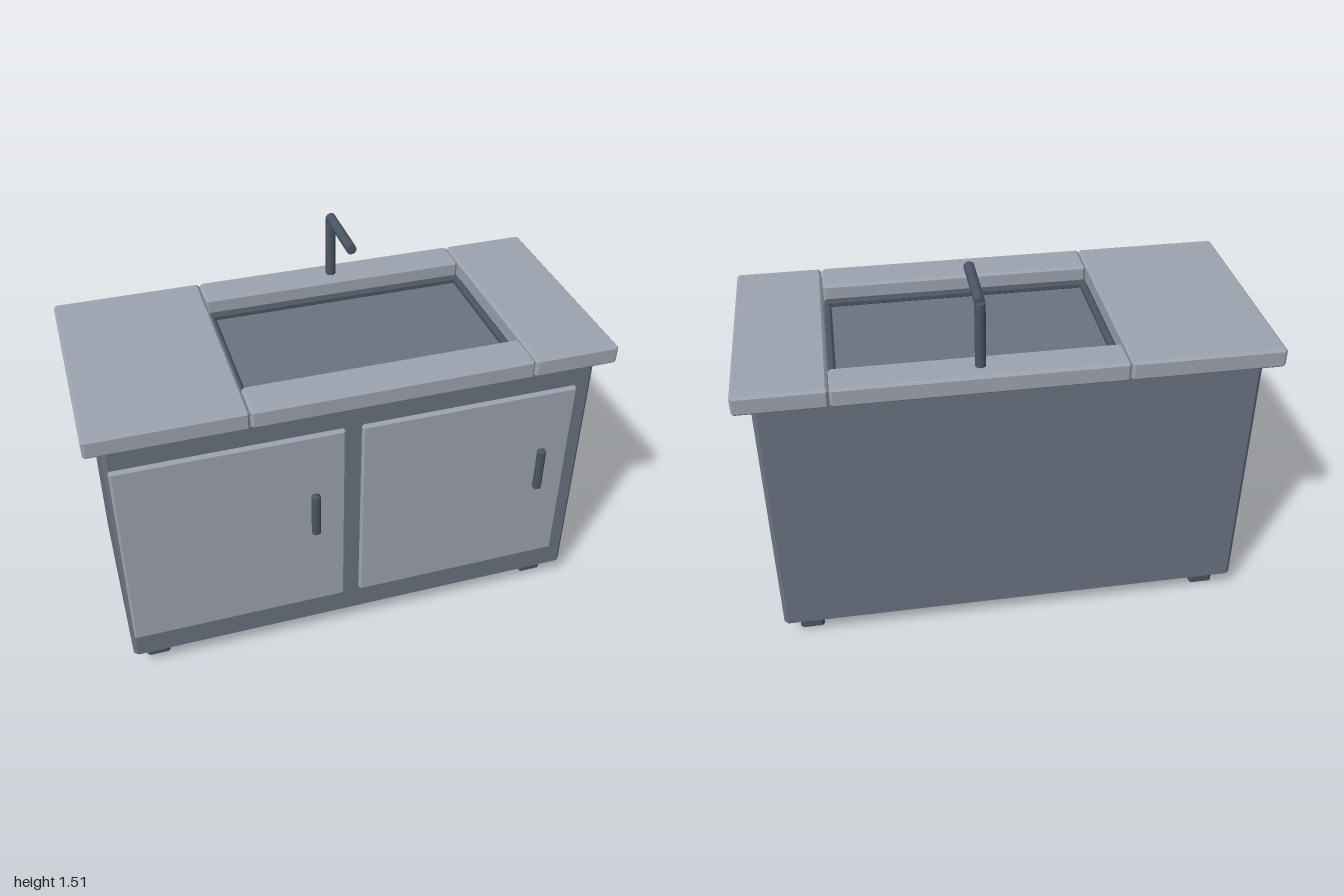
import * as THREE from 'three';
import { ConvexGeometry } from 'three/addons/geometries/ConvexGeometry.js';

const paint = (color) => new THREE.MeshStandardMaterial({ color });

// Box between two corners with every edge chamfered by r
function chamferBox(name, min, max, r, material) {
  const half = min.map((v, i) => (max[i] - v) / 2);
  const points = [];
  for (const sx of [-1, 1]) for (const sy of [-1, 1]) for (const sz of [-1, 1])
    for (let full = 0; full < 3; full++) {
      const [x, y, z] = half.map((h, i) => (i === full ? h : h - r));
      points.push(new THREE.Vector3(sx * x, sy * y, sz * z));
    }
  const mesh = new THREE.Mesh(new ConvexGeometry(points), material);
  mesh.position.set(...min.map((v, i) => (v + max[i]) / 2));
  mesh.name = name;
  return mesh;
}

export function createModel() {
  const model = new THREE.Group();
  model.name = 'sinkCabinet';
  const light = paint(0x9ca3af), mid = paint(0x6b7280), dark = paint(0x4b5563);
  const box = (...args) => model.add(chamferBox(...args));

  // Cabinet body
  box('cabinetBody', [-0.937, 0.08, -0.412], [0.933, 1.155, 0.402], 0.016, mid);

  // Feet
  for (const x of [-0.834, 0.826]) for (const z of [-0.31, 0.296])
    box('foot', [x - 0.048, 0, z - 0.048], [x + 0.048, 0.095, z + 0.048], 0.01, dark);

  // Doors with handles
  for (const x of [-0.925, -0.002]) {
    box('door', [x, 0.217, 0.405], [x + 0.86, 1.065, 0.43], 0.008, light);
    box('doorHandle', [x + 0.721, 0.6, 0.43], [x + 0.754, 0.8, 0.462], 0.009, dark);
  }

  // Countertop slabs around the sink opening
  const slabs = [
    ['countertopRight', -1, -0.419, -0.46, 0.446],
    ['countertopLeft', 0.659, 0.996, -0.46, 0.446],
    ['countertopFront', -0.417, 0.657, 0.288, 0.446],
    ['countertopBack', -0.417, 0.657, -0.46, -0.318],
  ];
  for (const [name, x0, x1, z0, z1] of slabs)
    box(name, [x0, 1.158, z0], [x1, 1.236, z1], 0.01, light);

  // Rim bars lining the sink floor
  const rims = [
    ['sinkRimBack', -0.415, 0.655, -0.32, -0.288],
    ['sinkRimFront', -0.415, 0.655, 0.258, 0.29],
    ['sinkRimRight', -0.417, -0.389, -0.288, 0.258],
    ['sinkRimLeft', 0.629, 0.657, -0.288, 0.258],
  ];
  for (const [name, x0, x1, z0, z1] of rims)
    box(name, [x0, 1.15, z0], [x1, 1.18, z1], 0.008, dark);

  // Faucet: upright post and horizontal spout
  const post = new THREE.Mesh(new THREE.CylinderGeometry(0.02, 0.02, 0.29, 16), dark);
  post.name = 'faucetPost';
  post.position.set(0.12, 1.343, -0.386);
  const spout = new THREE.Mesh(new THREE.CylinderGeometry(0.02, 0.02, 0.275, 16), dark);
  spout.name = 'faucetSpout';
  spout.rotation.x = Math.PI / 2;
  spout.position.set(0.12, 1.487, -0.2485);
  model.add(post, spout);

  return model;
}
